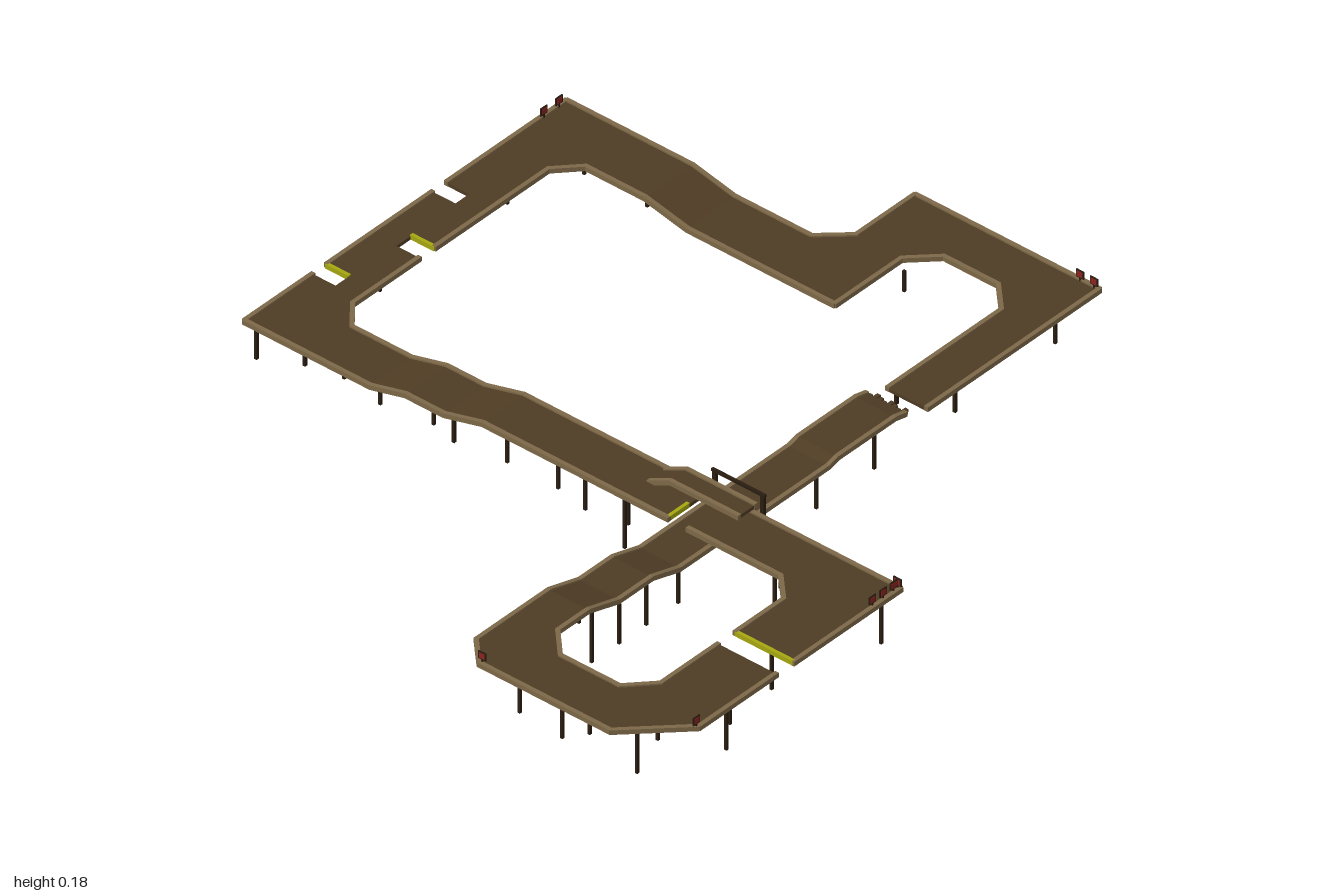
import * as THREE from 'three';

const mat = (name, color) => {
  const m = new THREE.MeshStandardMaterial({ color });
  m.name = name;
  return m;
};

export function createModel() {
  const model = new THREE.Group();
  model.name = 'raisedTrack';
  const wood = mat('darkWood', 0x4f3c24);
  const trim = mat('lightTrim', 0x7d6848);
  const postWood = mat('postWood', 0x2a1d10);
  const yellow = mat('yellowEdge', 0xa6a610);
  const red = mat('redLamp', 0x8a2420);

  const add = (name, geo, material) => {
    const mesh = new THREE.Mesh(geo, material);
    mesh.name = name;
    model.add(mesh);
    return mesh;
  };
  const box = (name, material, w, h, d, x, y, z) =>
    add(name, new THREE.BoxGeometry(w, h, d), material).position.set(x, y, z);

  // Height along a list of [position, height] knots
  const along = (knots) => (t) => {
    if (t <= knots[0][0]) return knots[0][1];
    for (let i = 1; i < knots.length; i++) {
      const [a, ya] = knots[i - 1], [b, yb] = knots[i];
      if (t <= b) return ya + (yb - ya) * (t - a) / (b - a);
    }
    return knots[knots.length - 1][1];
  };

  // Board deck from an [x, z] outline, its top following h(x, z)
  const THICK = 0.009;
  function deck(name, outline, h) {
    const shape = new THREE.Shape(outline.map(([x, z]) => new THREE.Vector2(x, -z)));
    const geo = new THREE.ExtrudeGeometry(shape, { depth: THICK, bevelEnabled: false });
    geo.rotateX(-Math.PI / 2);
    const p = geo.attributes.position;
    for (let i = 0; i < p.count; i++) p.setY(i, p.getY(i) - THICK + h(p.getX(i), p.getZ(i)));
    geo.computeVertexNormals();
    add(name, geo, wood);
  }

  // Edge beams along an [x, z] line
  function rail(line, h) {
    for (let i = 1; i < line.length; i++) {
      const [a, b] = [line[i - 1], line[i]].map(([x, z]) => new THREE.Vector3(x, h(x, z) - 0.002, z));
      const beam = add('edgeRail', new THREE.BoxGeometry(0.011, 0.012, a.distanceTo(b) + 0.004), trim);
      beam.position.copy(a).add(b).multiplyScalar(0.5);
      beam.lookAt(b);
    }
  }

  const LOW = 0.064, MID = 0.09, HIGH = 0.145;
  const flat = (y) => () => y;

  // Left side with its half-width gaps
  const left = [[-0.52, 0.325], [-0.88, 0.325], [-0.88, 0.1], [-0.815, 0.1], [-0.815, 0.055], [-0.88, 0.055],
    [-0.88, -0.295], [-0.815, -0.295], [-0.815, -0.34], [-0.88, -0.34], [-0.88, -0.735], [-0.52, -0.735],
    [-0.52, -0.58], [-0.69, -0.58], [-0.745, -0.52], [-0.745, -0.145], [-0.81, -0.145], [-0.81, -0.095],
    [-0.745, -0.095], [-0.745, 0.125], [-0.69, 0.19], [-0.52, 0.19]];
  deck('leftDeck', left, flat(MID));
  [[0, 3], [5, 7], [9, 12], [12, 16], [18, 22]].forEach(([s, e]) => rail(left.slice(s, e), flat(MID)));

  // Straight runs that climb or fall in steps
  function run(name, knots, lo, hi, alongX) {
    const f = along(knots);
    const h = (x, z) => f(alongX ? x : z);
    const pt = (t, s) => (alongX ? [t, s] : [s, t]);
    for (let i = 1; i < knots.length; i++) {
      const a = knots[i - 1][0], b = knots[i][0];
      deck(name, [pt(a, lo), pt(b, lo), pt(b, hi), pt(a, hi)], h);
    }
    for (const s of [lo, hi]) rail(knots.map(([t]) => pt(t, s)), h);
    return h;
  }
  const frontH = run('frontRun', [[-0.52, MID], [-0.42, 0.116], [-0.31, 0.116], [-0.2, HIGH], [0.33, HIGH]], 0.19, 0.325, true);
  const backH = run('backRun', [[-0.52, MID], [-0.4, LOW], [-0.18, LOW]], -0.735, -0.58, true);
  const crossH = run('crossingRun', [[-0.355, MID], [-0.32, 0.098], [-0.13, 0.098], [-0.1, MID], [0.39, MID],
    [0.48, 0.116], [0.59, 0.116], [0.69, HIGH], [0.79, HIGH]], 0.305, 0.416, false);

  // Low rear corner
  const rear = [[-0.18, -0.58], [0.02, -0.58], [0.02, -0.8], [0.085, -0.865], [0.24, -0.865], [0.305, -0.8],
    [0.305, -0.425], [0.416, -0.425], [0.416, -0.995], [-0.11, -0.995], [-0.11, -0.8], [-0.18, -0.735]];
  deck('rearDeck', rear, flat(LOW));
  rail(rear.slice(0, 7), flat(LOW));
  rail(rear.slice(7), flat(LOW));

  // Splintered boards at the rear gap
  for (let i = 0; i < 8; i++) {
    const len = 0.006 + 0.005 * (i * 5 % 3);
    box('brokenBoard', wood, 0.01, 0.007, len, 0.314 + i * 0.0133, MID - 0.005, -0.355 - len / 2);
  }

  // High front loop
  const loop = [[0.305, 0.79], [0.305, 0.93], [0.365, 0.99], [0.74, 0.99], [0.875, 0.855], [0.875, 0.6],
    [0.71, 0.6], [0.71, 0.79], [0.65, 0.855], [0.48, 0.855], [0.416, 0.79]];
  deck('loopDeck', loop, flat(HIGH));
  rail(loop.slice(0, 6), flat(HIGH));
  rail(loop.slice(6), flat(HIGH));
  const corner = [[0.385, 0.19], [0.875, 0.19], [0.875, 0.545], [0.71, 0.545], [0.71, 0.385], [0.65, 0.325], [0.385, 0.325]];
  deck('cornerDeck', corner, flat(HIGH));
  rail(corner.slice(0, 3), flat(HIGH));
  rail(corner.slice(3), flat(HIGH));

  // Jump ramp over the crossing
  run('jumpRamp', [[0.21, HIGH], [0.27, 0.174], [0.465, 0.174]], 0.195, 0.25, true);

  // Yellow take-off edges
  box('takeOffEdge', yellow, 0.068, 0.012, 0.009, -0.777, MID - 0.002, -0.145);
  box('takeOffEdge', yellow, 0.066, 0.012, 0.009, -0.847, MID - 0.002, 0.055);
  box('takeOffEdge', yellow, 0.165, 0.012, 0.009, 0.793, HIGH - 0.002, 0.543);
  box('takeOffEdge', yellow, 0.009, 0.012, 0.065, 0.327, HIGH - 0.002, 0.29);

  // Gate across the crossing run
  for (const x of [0.293, 0.43]) box('gatePost', postWood, 0.01, 0.15, 0.008, x, 0.075, 0.13);
  box('gateBeam', postWood, 0.152, 0.007, 0.007, 0.361, 0.147, 0.13);

  // Support posts
  const posts = (h, list) => list.forEach(([x, z]) => {
    const top = h(x, z) - THICK;
    box('supportPost', postWood, 0.007, top, 0.007, x, top / 2, z);
  });
  posts(flat(MID), [[-0.85, 0.32], [-0.82, 0.21], [-0.81, -0.04], [-0.82, -0.23], [-0.81, -0.46], [-0.85, -0.695],
    [-0.755, 0.27], [-0.66, 0.25], [-0.54, 0.27], [-0.755, -0.65], [-0.68, -0.665], [-0.575, -0.65]]);
  posts(frontH, [[-0.405, 0.25], [-0.33, 0.27], [-0.195, 0.25], [-0.05, 0.25], [0.045, 0.27], [0.15, 0.25], [0.2, 0.32]]);
  posts(backH, [[-0.405, -0.65], [-0.33, -0.665], [-0.195, -0.695]]);
  posts(flat(LOW), [[-0.065, -0.65], [-0.04, -0.915], [0.045, -0.78], [0.15, -0.92], [0.29, -0.92],
    [0.415, -0.85], [0.3, -0.59], [0.415, -0.52], [0.3, -0.46]]);
  for (const z of [-0.25, -0.06, 0.395, 0.5, 0.59, 0.68]) posts(crossH, [[0.303, z], [0.418, z]]);
  posts(flat(HIGH), [[0.42, 0.92], [0.55, 0.93], [0.585, 0.88], [0.71, 0.8], [0.755, 0.92], [0.845, 0.73],
    [0.79, 0.655], [0.775, 0.5], [0.715, 0.365], [0.845, 0.22], [0.585, 0.27], [0.55, 0.21]]);

  // Red marker lamps: thin plates with a dark frame, facing x or z
  function lamp(x, y, z, facesX) {
    const g = new THREE.Group();
    g.name = 'markerLamp';
    [[0.022, 0.02, 0.003, 0, postWood], [0.016, 0.014, 0.005, 0, red]].forEach(([w, h, d, dy, m]) => {
      const plate = new THREE.Mesh(new THREE.BoxGeometry(w, h, d), m);
      plate.name = m === red ? 'lampFace' : 'lampFrame';
      plate.position.y = dy;
      g.add(plate);
    });
    const stem = new THREE.Mesh(new THREE.BoxGeometry(0.004, 0.014, 0.003), postWood);
    stem.name = 'lampStem';
    stem.position.y = -0.014;
    g.add(stem);
    if (facesX) g.rotation.y = Math.PI / 2;
    g.position.set(x, y, z);
    model.add(g);
  }
  for (const z of [-0.655, -0.705]) lamp(-0.875, 0.109, z, true);
  for (const x of [0.365, 0.405]) lamp(x, 0.083, -0.99, false);
  for (const z of [0.21, 0.245, 0.28]) lamp(0.872, 0.164, z, true);
  lamp(0.87, 0.164, 0.195, false);
  lamp(0.872, 0.164, 0.86, true);
  lamp(0.37, 0.164, 0.985, false);

  return model;
}
